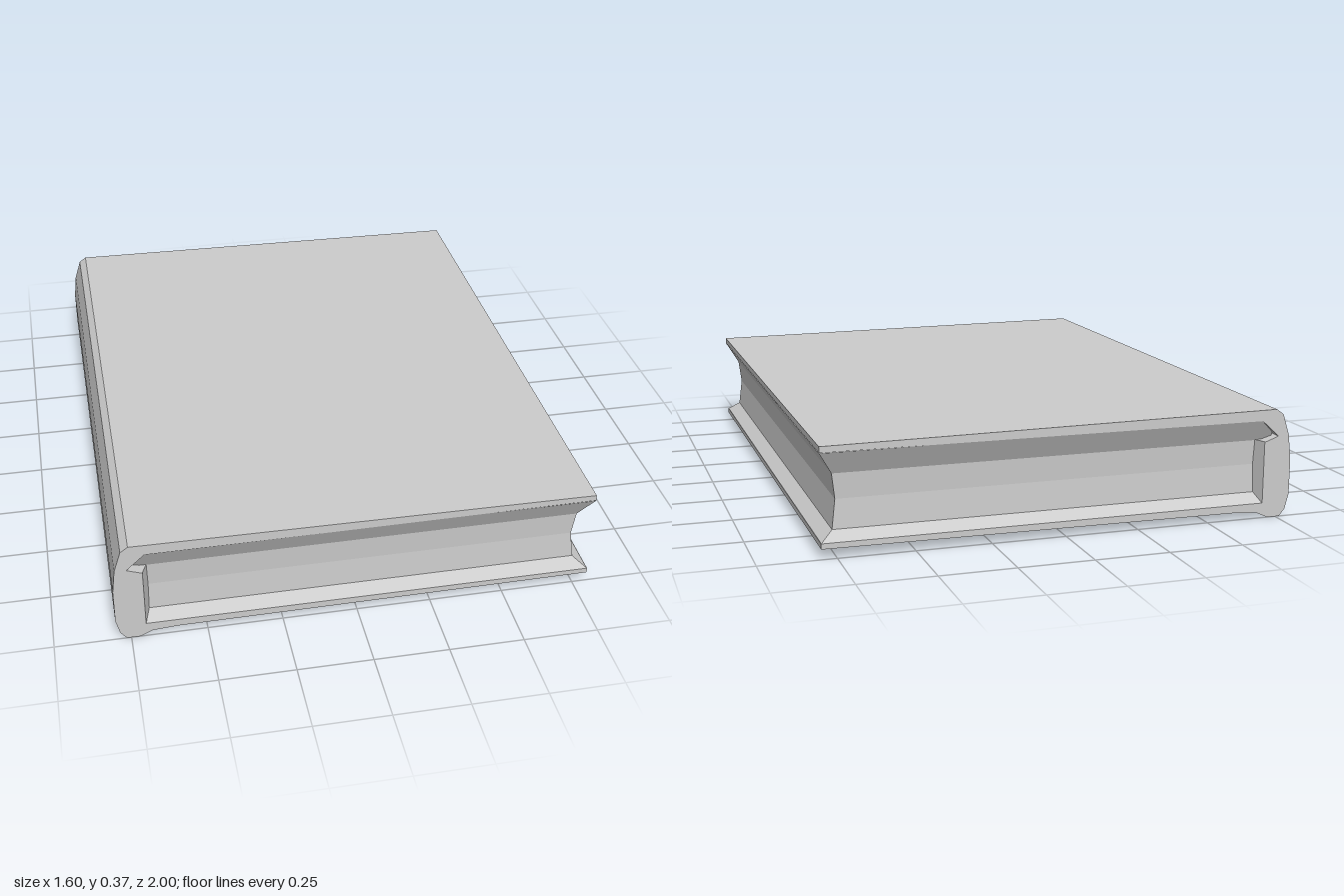
import * as THREE from 'three';

const material = new THREE.MeshStandardMaterial({ color: 0xcccccc, flatShading: true, side: THREE.DoubleSide });

function addMesh(group, name, geometry) {
  const mesh = new THREE.Mesh(geometry, material);
  mesh.name = name;
  group.add(mesh);
  return mesh;
}

function extrude(points, depth) {
  const shape = new THREE.Shape(points.map(([x, y]) => new THREE.Vector2(x, y)));
  return new THREE.ExtrudeGeometry(shape, { depth, bevelEnabled: false });
}

// Walls through rectangular rings, listed bottom to top as [y, right x, half depth]
function loftRings(rings, left) {
  const corners = rings.map(([y, x, z]) => [[left, y, z], [x, y, z], [x, y, -z], [left, y, -z]]);
  const positions = [];
  for (let i = 0; i < corners.length - 1; i++) {
    for (let j = 0; j < 4; j++) {
      const k = (j + 1) % 4;
      const a = corners[i][j], b = corners[i][k], c = corners[i + 1][k], d = corners[i + 1][j];
      positions.push(...a, ...b, ...c, ...a, ...c, ...d);
    }
  }
  const geometry = new THREE.BufferGeometry();
  geometry.setAttribute('position', new THREE.Float32BufferAttribute(positions, 3));
  geometry.computeVertexNormals();
  return geometry;
}

export function createModel() {
  const book = new THREE.Group();
  book.name = 'book';

  // Both covers and the rounded spine, as one profile run along z
  const cover = extrude([
    [0.8, 0.362], [-0.74, 0.375], [-0.765, 0.357], [-0.788, 0.285], [-0.798, 0.2], [-0.798, 0.08],
    [-0.785, 0.03], [-0.765, 0.005], [-0.72, 0.005], [-0.68, 0.024], [-0.6, 0.03], [0.8, 0.038],
    [0.8, 0.056], [-0.7, 0.056], [-0.7, 0.265], [-0.75, 0.283], [-0.69, 0.338], [0.8, 0.342],
  ], 2);
  cover.translate(0, 0, -1);
  addMesh(book, 'coverAndSpine', cover);

  // Hollowed page edges, flaring out to the cover boards
  addMesh(book, 'pages', loftRings([
    [0.055, 0.8, 1], [0.086, 0.757, 0.96], [0.182, 0.745, 0.955], [0.265, 0.755, 0.96], [0.341, 0.8, 1],
  ], -0.74));

  // Slanted spine lip beside the page ends
  const lip = extrude([[-0.72, -1], [-0.7, -1], [-0.68, -0.95], [-0.68, 0.95], [-0.7, 1], [-0.72, 1]], 0.212);
  lip.rotateX(-Math.PI / 2).translate(0, 0.055, 0);
  addMesh(book, 'spineLip', lip);

  return book;
}
